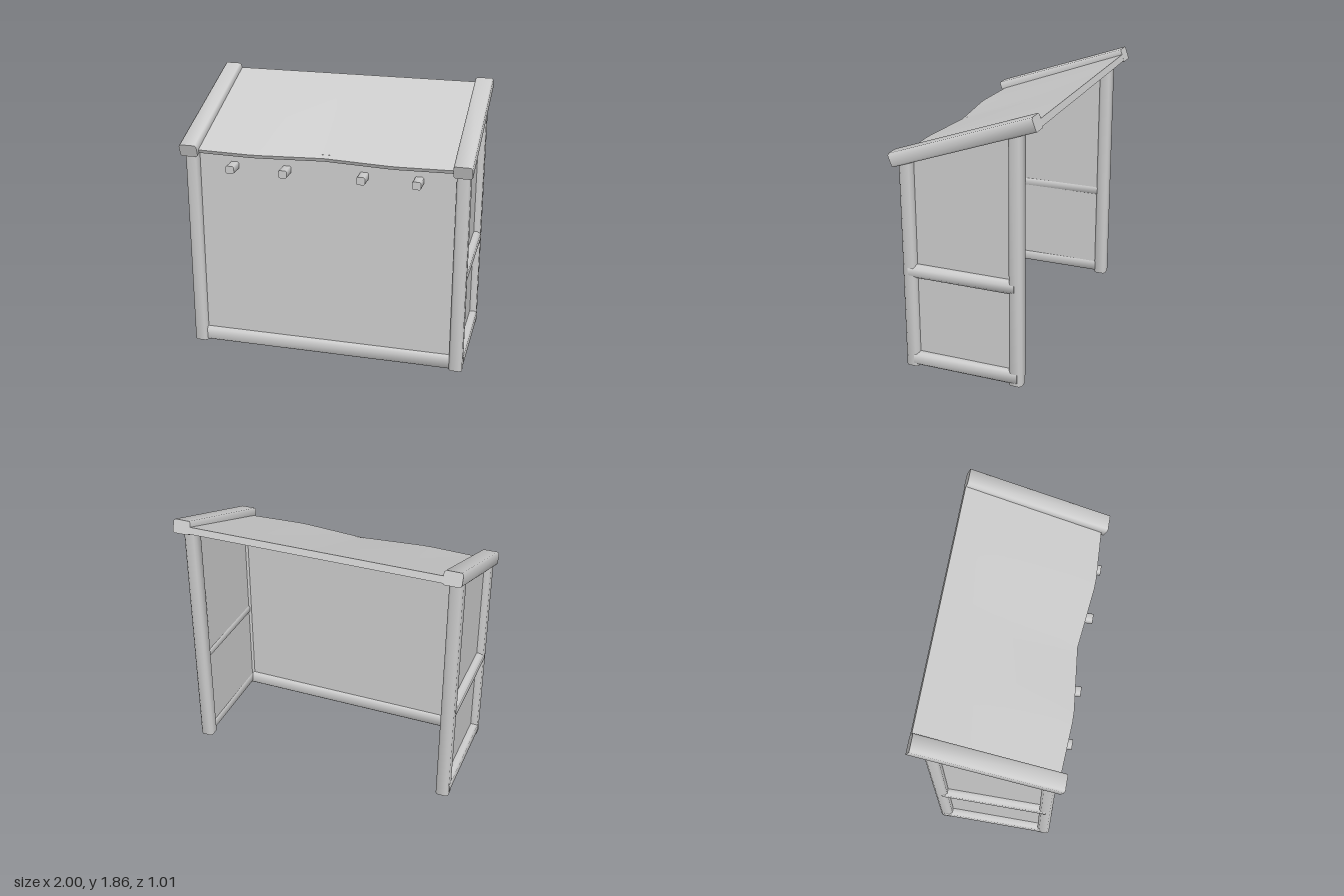
import * as THREE from 'three';
import { toCreasedNormals } from 'three/addons/utils/BufferGeometryUtils.js';

export function createModel() {
  const group = new THREE.Group();
  const timber = new THREE.MeshStandardMaterial({ color: 0xcccccc });
  timber.name = 'greyTimber';

  const add = (name, geometry, x = 0, y = 0, z = 0, rx = 0, ry = 0) => {
    const mesh = new THREE.Mesh(geometry, timber);
    mesh.name = name;
    mesh.position.set(x, y, z);
    mesh.rotation.set(rx, ry, 0);
    group.add(mesh);
    return mesh;
  };

  // Beam with chamfered long edges, centred, running along z
  const beam = (w, h, length, c = 0.015) => {
    const a = w / 2, b = h / 2;
    const s = new THREE.Shape([
      [a - c, -b], [a, -b + c], [a, b - c], [a - c, b],
      [-a + c, b], [-a, b - c], [-a, -b + c], [-a + c, -b],
    ].map(([x, y]) => new THREE.Vector2(x, y)));
    const g = new THREE.ExtrudeGeometry(s, { depth: length, bevelEnabled: false });
    g.translate(0, 0, -length / 2);
    return toCreasedNormals(g, 1);
  };

  const slope = Math.atan2(0.345, 0.975);

  // Front wall and its base rail
  add('frontWall', new THREE.BoxGeometry(1.84, 1.47, 0.03), 0, 0.755, 0.38);
  add('frontBaseRail', beam(0.08, 0.1, 1.8), 0, 0.05, 0.385, 0, Math.PI / 2);

  // Side wall outline follows the roof slope (shape x is -z)
  const sideShape = new THREE.Shape([
    [-0.385, 0.02], [0.35, 0.02], [0.35, 1.765], [-0.385, 1.505],
  ].map(([x, y]) => new THREE.Vector2(x, y)));

  for (const [side, s] of [['left', 1], ['right', -1]]) {
    const wall = new THREE.ExtrudeGeometry(sideShape, { depth: 0.03, bevelEnabled: false });
    wall.translate(0, 0, -0.015);
    add(side + 'Wall', wall, s * 0.92, 0, 0, 0, Math.PI / 2);

    add(side + 'FrontPost', beam(0.092, 0.09, 1.5), s * 0.936, 0.75, 0.395, -Math.PI / 2);
    add(side + 'BackPost', beam(0.092, 0.09, 1.77), s * 0.936, 0.885, -0.355, -Math.PI / 2);

    add(side + 'MiddleRail', beam(0.085, 0.09, 0.75, 0.022), s * 0.942, 0.705, 0.025);
    add(side + 'BaseRail', beam(0.085, 0.09, 0.75), s * 0.942, 0.055, 0.005);

    add(side + 'RoofBeam', beam(0.125, 0.094, 1.035, 0.012), s * 0.9375, 1.644, 0, slope);
  }

  // Roof sheet with a wavy, thinner front edge
  const roof = new THREE.BoxGeometry(1.78, 1, 1, 24, 1, 8);
  const p = roof.attributes.position;
  for (let i = 0; i < p.count; i++) {
    const x = Math.abs(p.getX(i)), top = p.getY(i) > 0, v = p.getZ(i) + 0.5;
    const edge = x < 0.48 ? 0.43 + 0.05 * x / 0.48 : 0.48 - 0.02 * (x - 0.48) / 0.4;
    const y = top
      ? THREE.MathUtils.lerp(1.825, 1.475, v)
      : THREE.MathUtils.lerp(1.78, 1.45, v);
    const z = THREE.MathUtils.lerp(top ? -0.485 : -0.5, top ? edge : edge - 0.012, v);
    p.setXYZ(i, p.getX(i), y, z);
  }
  roof.computeVertexNormals();
  add('roofSheet', roof);

  // Pegs pushed through the front wall
  for (const x of [-0.64, -0.268, 0.268, 0.64]) {
    add('peg', beam(0.06, 0.054, 0.14, 0.008), x, 1.363, 0.43);
  }

  return group;
}
